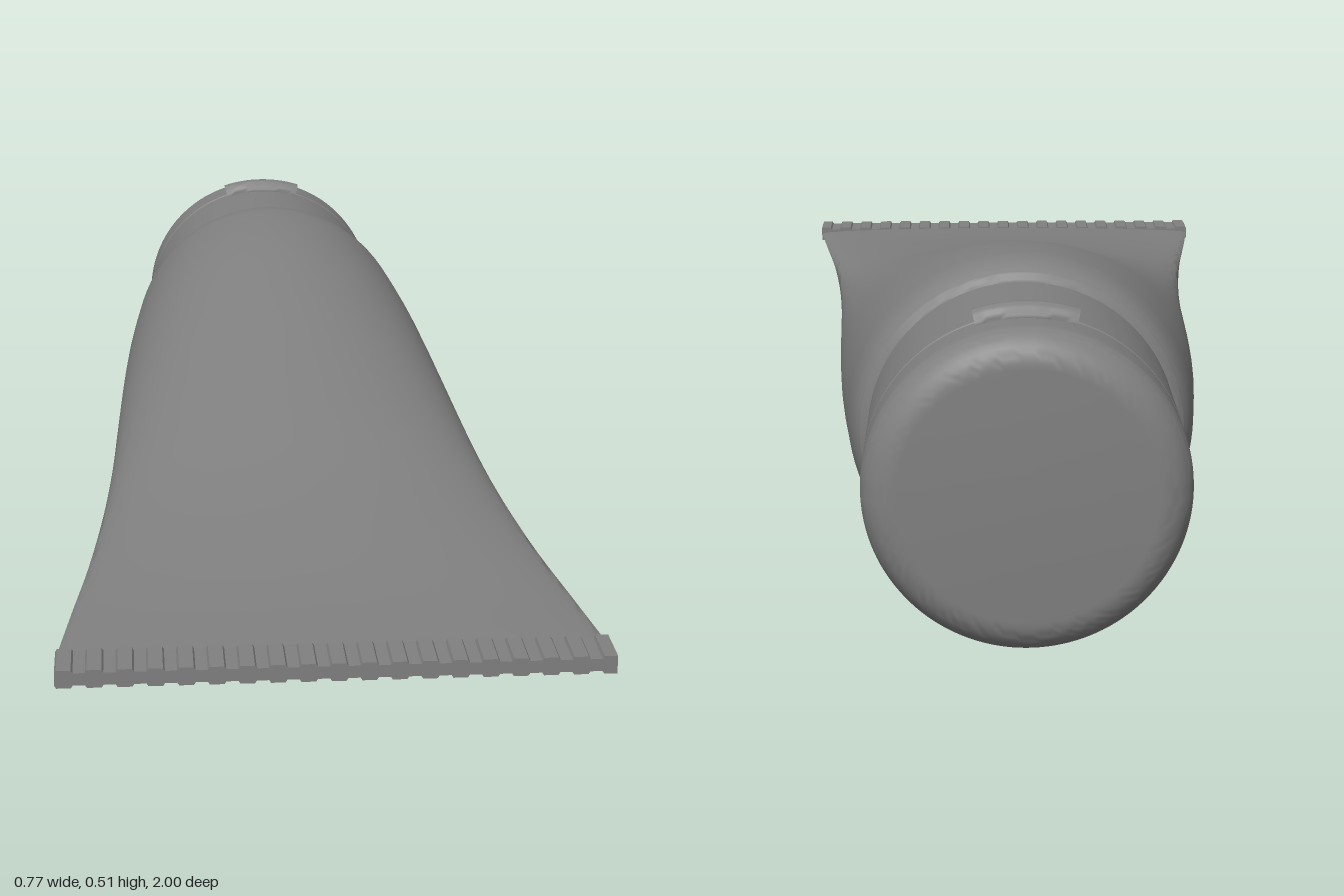
import * as THREE from 'three';
import { toCreasedNormals } from 'three/addons/utils/BufferGeometryUtils.js';

const AXIS_Y = 0.257; // height of the tube's centre line
const CAP_R = 0.228;
const material = new THREE.MeshStandardMaterial({ color: 0x808080, side: THREE.DoubleSide });

function part(name, geometry, crease = 0.6) {
  const mesh = new THREE.Mesh(toCreasedNormals(geometry, crease), material);
  mesh.name = name;
  return mesh;
}

// Squeezable body: elliptical sections from the flat seal to the round shoulder
function bodyGeometry() {
  // half width, half height, z
  const path = new THREE.CatmullRomCurve3([
    [0.384, 0.011, 0.93], [0.364, 0.021, 0.77], [0.342, 0.041, 0.6], [0.322, 0.072, 0.4],
    [0.308, 0.114, 0.2], [0.299, 0.157, 0], [0.29, 0.2, -0.2], [0.278, 0.237, -0.4],
    [0.265, 0.253, -0.54], [0.257, 0.255, -0.61], [0.248, 0.248, -0.645],
    [0.236, 0.236, -0.664], [0.222, 0.222, -0.67], [0.2, 0.2, -0.671],
  ].map((p) => new THREE.Vector3(...p)));
  const geometry = new THREE.CylinderGeometry(1, 1, 1, 96, 104, true).rotateX(-Math.PI / 2);
  const pos = geometry.attributes.position;
  const s = new THREE.Vector3();
  for (let i = 0; i < pos.count; i++) {
    path.getPoint(THREE.MathUtils.clamp(0.5 - pos.getZ(i), 0, 1), s);
    pos.setXYZ(i, pos.getX(i) * s.x, pos.getY(i) * s.y, s.z);
  }
  return geometry;
}

// Crimped seal: flat strip with shallow ridges on both faces
function sealGeometry() {
  const half = 0.384, pitch = (2 * half) / 18.5, low = 0.009, high = 0.013;
  const top = [];
  for (let i = 0; i < 18; i++) {
    const x = -half + i * pitch;
    top.push([x, low], [x + pitch * 0.06, high], [x + pitch * 0.54, high], [x + pitch * 0.6, low]);
  }
  top.push([half - pitch * 0.5, low], [half - pitch * 0.44, high], [half, high]);
  const bottom = top.map(([x, y]) => [x, -y]).reverse();
  const shape = new THREE.Shape([...top, ...bottom].map(([x, y]) => new THREE.Vector2(x, y)));
  return new THREE.ExtrudeGeometry(shape, { depth: 0.073, bevelEnabled: false }).translate(0, 0, 0.927);
}

// Turned cap part along -z, with the thumb notch pressed into its underside
function capGeometry(profile) {
  const points = [];
  profile.forEach(([r, t], i) => {
    if (i > 0) {
      const [r0, t0] = profile[i - 1];
      const n = Math.max(1, Math.ceil((t - t0) / 0.007));
      for (let k = 1; k < n; k++) {
        points.push(new THREE.Vector2(r0 + ((r - r0) * k) / n, t0 + ((t - t0) * k) / n));
      }
    }
    points.push(new THREE.Vector2(r, t));
  });
  const geometry = new THREE.LatheGeometry(points, 144).rotateX(-Math.PI / 2);
  const pos = geometry.attributes.position;
  const { smoothstep } = THREE.MathUtils;
  for (let i = 0; i < pos.count; i++) {
    const t = -pos.getZ(i);
    const depth = 0.031 * smoothstep(t, 0.725, 0.815) * (1 - smoothstep(t, 0.875, 0.94));
    pos.setY(i, Math.max(pos.getY(i), depth - CAP_R));
  }
  return geometry;
}

// Hinge: round bead following the top of the cap across the seam
function hingeGeometry() {
  const arc = [];
  for (let i = -4; i <= 4; i++) {
    const a = (i / 4) * 0.31;
    arc.push(new THREE.Vector3(0.227 * Math.sin(a), 0.227 * Math.cos(a), -0.888));
  }
  const circle = new THREE.Shape().absarc(0, 0, 0.021, 0, Math.PI * 2);
  return new THREE.ExtrudeGeometry(circle, {
    steps: 16, curveSegments: 12, extrudePath: new THREE.CatmullRomCurve3(arc),
  });
}

export function createModel() {
  const model = new THREE.Group();
  model.name = 'squeezeTube';

  // Rounded outer edge of the lid
  const lidProfile = [[0.19, 0.888], [0.226, 0.888], [CAP_R, 0.89]];
  for (let i = 0; i <= 10; i++) {
    const a = (i / 10) * Math.PI / 2;
    lidProfile.push([CAP_R - 0.05 + 0.05 * Math.cos(a), 0.95 + 0.05 * Math.sin(a)]);
  }
  lidProfile.push([0, 1]);

  const assembly = new THREE.Group();
  assembly.name = 'tube';
  assembly.position.y = AXIS_Y;
  assembly.add(
    part('body', bodyGeometry(), 0.9),
    part('crimpedSeal', sealGeometry(), 0.3),
    part('capBase', capGeometry([[0.19, 0.668], [CAP_R, 0.668], [CAP_R, 0.881], [0.226, 0.883], [0.19, 0.883]])),
    part('capSeam', new THREE.CylinderGeometry(0.194, 0.194, 0.02, 96).rotateX(Math.PI / 2).translate(0, 0, -0.886)),
    part('lid', capGeometry(lidProfile)),
    part('hinge', hingeGeometry()),
  );
  model.add(assembly);
  return model;
}
